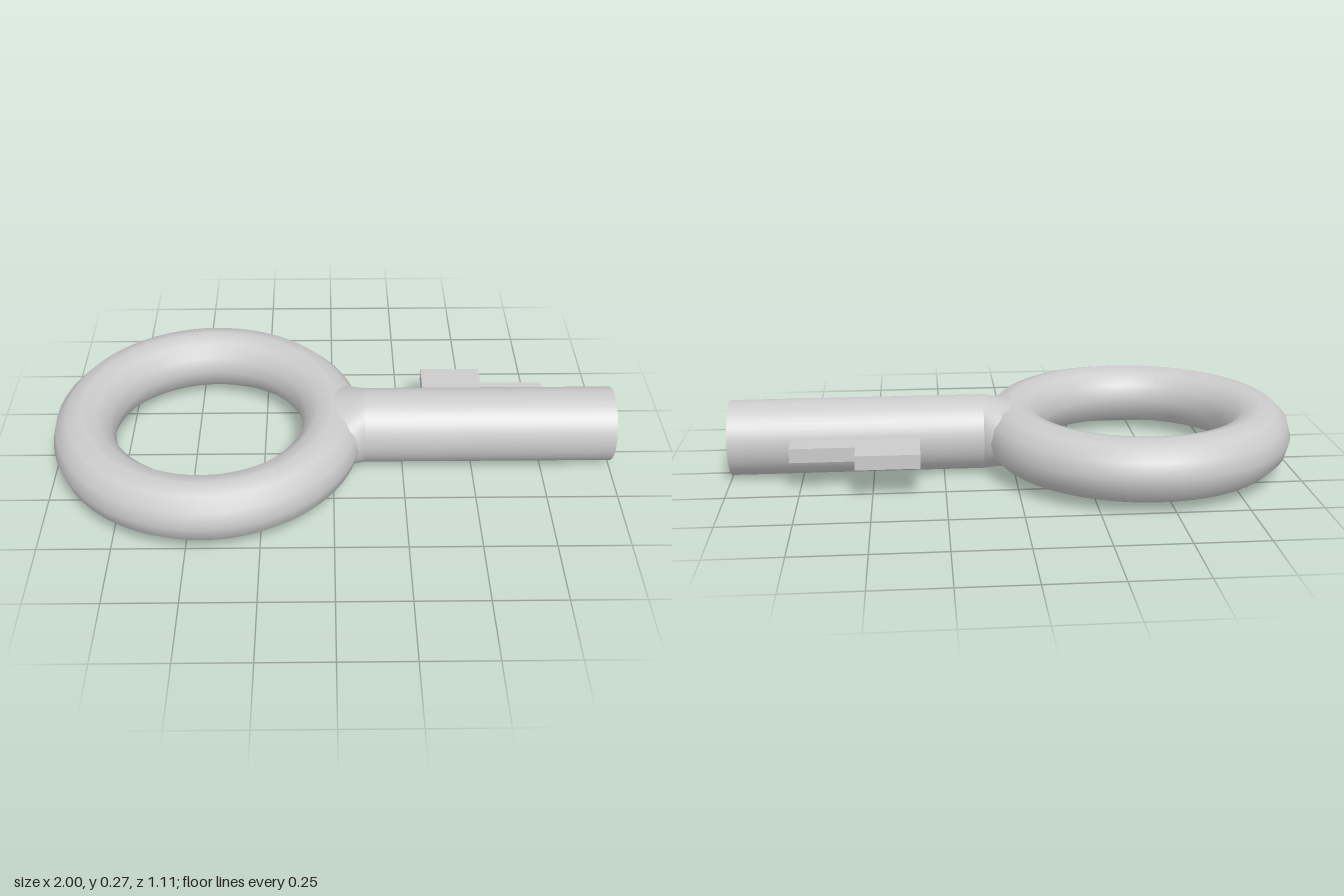
import * as THREE from 'three';

const AXIS_Y = 0.134;
const SHAFT_R = 0.133;
const NECK_X = 0.11;

export function createModel() {
  const model = new THREE.Group();
  model.name = 'key';
  const material = new THREE.MeshStandardMaterial({ color: 0xcccccc });

  function add(name, geometry, x, y, z) {
    const mesh = new THREE.Mesh(geometry, material);
    mesh.name = name;
    mesh.position.set(x, y, z);
    model.add(mesh);
    return mesh;
  }

  // Ring handle, lying flat
  const ring = new THREE.TorusGeometry(0.445, 0.11, 12, 64).rotateX(Math.PI / 2);
  add('ringHandle', ring, -0.445, AXIS_Y, 0);

  // Round shaft along x
  const length = 1 - NECK_X;
  const shaft = new THREE.CylinderGeometry(SHAFT_R, SHAFT_R, length, 48).rotateZ(-Math.PI / 2);
  add('shaft', shaft, NECK_X + length / 2, AXIS_Y, 0);

  // Neck blending the ring into the shaft: [x, half height, half width]
  const sections = [
    [0, 0.109, 0.19],
    [0.045, 0.118, 0.178],
    [0.085, 0.127, 0.153],
    [NECK_X, SHAFT_R, SHAFT_R],
  ];
  const neck = new THREE.CylinderGeometry(1, 1, 1, 48, sections.length - 1, true).rotateZ(-Math.PI / 2);
  const p = neck.attributes.position;
  for (let i = 0; i < p.count; i++) {
    const [x, halfHeight, halfWidth] = sections[Math.round((p.getX(i) + 0.5) * (sections.length - 1))];
    p.setXYZ(i, x, p.getY(i) * halfHeight, p.getZ(i) * halfWidth);
  }
  neck.computeVertexNormals();
  add('neck', neck, 0, AXIS_Y, 0);

  // Stepped bit on the back side of the shaft
  const outline = new THREE.Shape([
    [0.335, 0.1], [0.78, 0.1], [0.78, 0.22], [0.555, 0.22], [0.555, 0.31], [0.335, 0.31],
  ].map(([x, y]) => new THREE.Vector2(x, y)));
  const bit = new THREE.ExtrudeGeometry(outline, { depth: 0.05, bevelEnabled: false }).rotateX(-Math.PI / 2);
  add('bit', bit, 0, 0.11, 0);

  return model;
}
